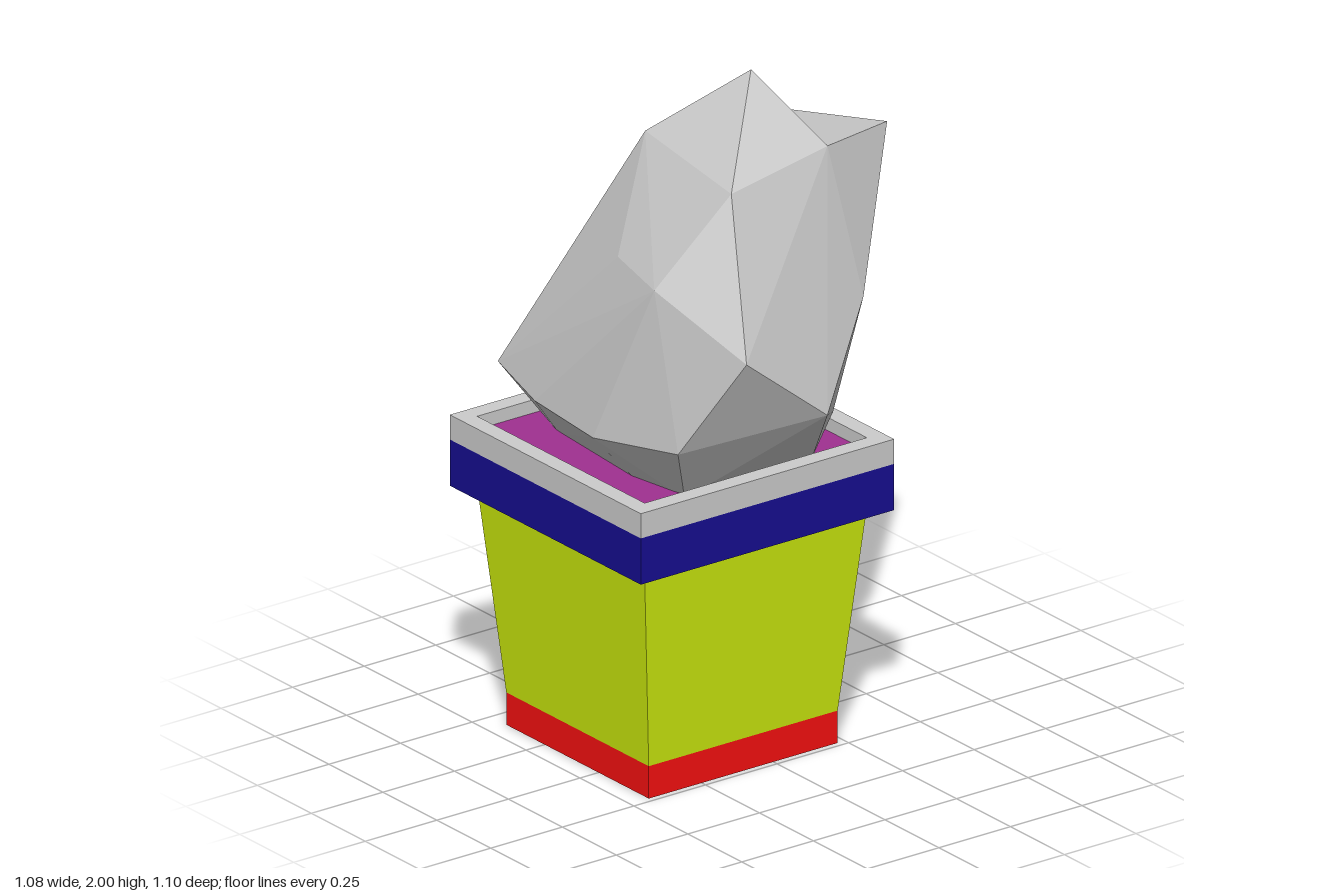
import * as THREE from 'three';
import { ConvexGeometry } from 'three/addons/geometries/ConvexGeometry.js';

const material = (color) => new THREE.MeshStandardMaterial({ color, flatShading: true });

function addMesh(parent, name, geometry, color = 0xcccccc) {
  const mesh = new THREE.Mesh(geometry, material(color));
  mesh.name = name;
  parent.add(mesh);
  return mesh;
}

// Square block between two heights; the half widths may differ to give a taper
function addBlock(parent, name, y0, y1, half0, half1, color) {
  const geometry = new THREE.CylinderGeometry(half1 * Math.SQRT2, half0 * Math.SQRT2, y1 - y0, 4);
  geometry.rotateY(Math.PI / 4);
  geometry.translate(0, (y0 + y1) / 2, 0);
  return addMesh(parent, name, geometry, color);
}

function squarePath(PathType, half) {
  return new PathType([[-1, -1], [1, -1], [1, 1], [-1, 1]].map(([x, y]) => new THREE.Vector2(x * half, y * half)));
}

// Corner points of the boulder
const corners = {
  peak: [0.01, 2.0, -0.09], topRight: [-0.29, 1.78, -0.19], topLeft: [0.245, 1.825, -0.18],
  shoulderLeft: [0.33, 1.81, 0.22], shoulderRight: [-0.195, 1.8, 0.125],
  brow: [0.225, 1.53, 0.41], cheek: [-0.36, 1.41, 0.245], chest: [-0.03, 1.53, 0.345],
  sideHigh: [0.54, 1.39, 0.325], sideLow: [0.53, 1.16, 0.035], sideBack: [0.365, 1.4, -0.215],
  lipLeft: [0.335, 1.07, 0.41], lipFront: [0.02, 1.03, 0.47], lipMid: [-0.29, 1.03, 0.44],
  lipTip: [-0.54, 1.05, 0.38], flank: [-0.54, 1.1, 0.07], flankBack: [-0.485, 1.3, -0.305],
  heel: [-0.5, 0.97, -0.19], rearLow: [0.07, 1.0, -0.31], rearSide: [0.35, 1.07, -0.12],
  rearMid: [-0.08, 1.34, -0.46], crest: [0.11, 1.775, -0.49], rearTip: [-0.24, 1.6, -0.55],
  footA: [0.2, 0.87, -0.16], footB: [0.22, 0.87, 0.3], footC: [0.04, 0.87, 0.33],
  footD: [-0.36, 0.87, 0.3], footE: [-0.42, 0.87, -0.1], footF: [0, 0.87, -0.2],
};

const hull = (names) => new ConvexGeometry(names.map((n) => new THREE.Vector3(...corners[n])));

export function createModel() {
  const model = new THREE.Group();
  model.name = 'pottedBoulder';

  // Square pot
  const pot = new THREE.Group();
  pot.name = 'pot';
  pot.position.set(-0.0975, 0, 0.105);
  model.add(pot);
  addBlock(pot, 'foot', 0, 0.098, 0.33, 0.33, 0xf51010);
  addBlock(pot, 'taperedBody', 0.098, 0.715, 0.33, 0.388, 0xd0ee0e);
  addBlock(pot, 'collar', 0.715, 0.855, 0.4425, 0.4425, 0x160e90);
  addBlock(pot, 'soil', 0.856, 0.89, 0.388, 0.388, 0xa03090);

  // Open rim around the soil
  const rimShape = squarePath(THREE.Shape, 0.4425);
  rimShape.holes.push(squarePath(THREE.Path, 0.388));
  const rimGeometry = new THREE.ExtrudeGeometry(rimShape, { depth: 0.075, bevelEnabled: false });
  rimGeometry.rotateX(-Math.PI / 2);
  rimGeometry.translate(0, 0.855, 0);
  addMesh(pot, 'rim', rimGeometry);

  // Boulder: a main mass and a rear spur that meet in a notch behind the peak
  const boulder = new THREE.Group();
  boulder.name = 'boulder';
  model.add(boulder);
  const spurOnly = ['rearMid', 'crest', 'rearTip'];
  addMesh(boulder, 'mainMass', hull(Object.keys(corners).filter((n) => !spurOnly.includes(n))));
  addMesh(boulder, 'rearSpur', hull([...spurOnly, 'topRight', 'topLeft', 'sideBack', 'rearSide',
    'rearLow', 'heel', 'flankBack', 'footA', 'footE', 'footF']));

  return model;
}
